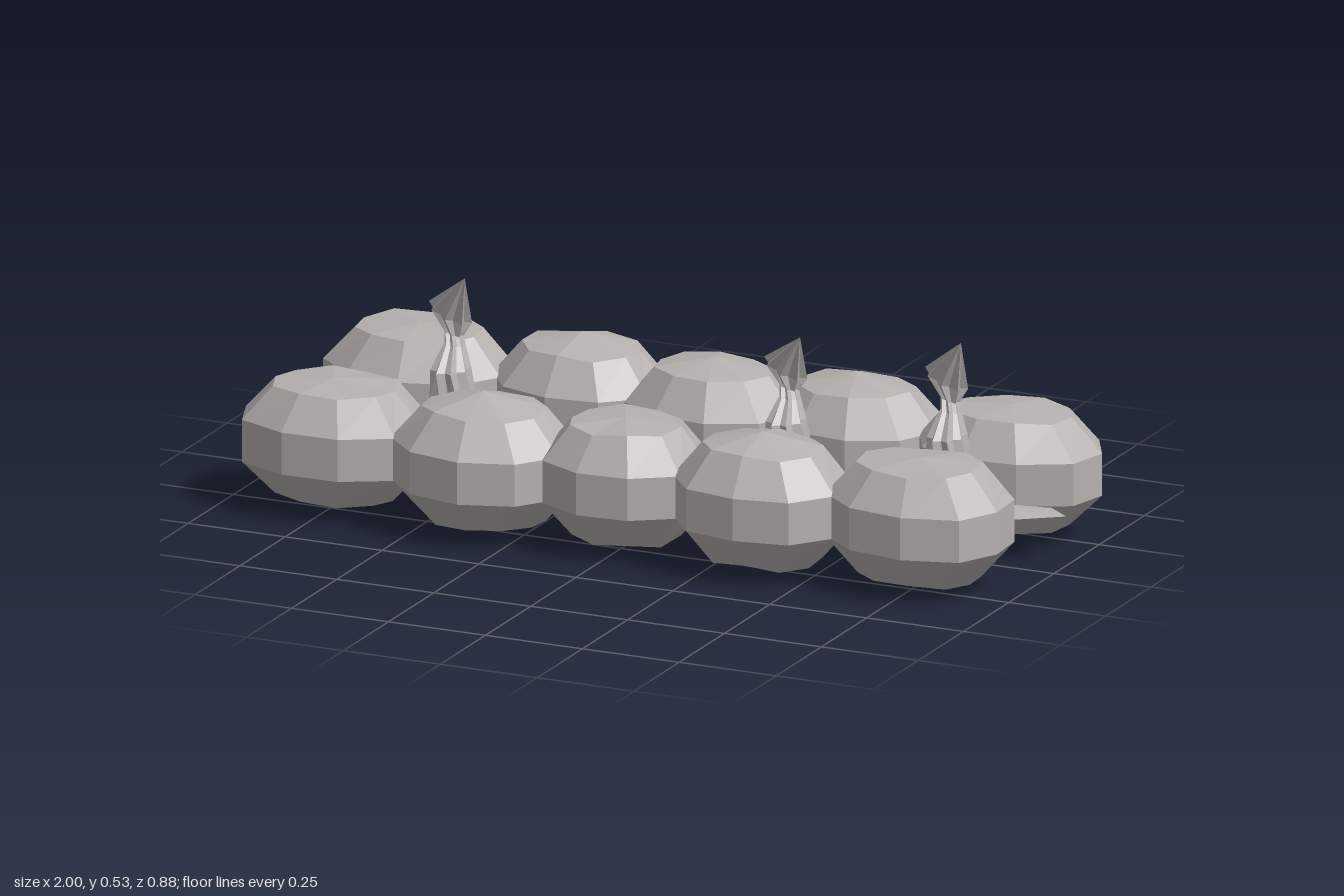
import * as THREE from 'three';

const stone = new THREE.MeshStandardMaterial({ color: 0xb5b1af, flatShading: true, side: THREE.DoubleSide });
stone.name = 'warm grey stone';

// Repeatable noise in -1..1
const noise = (a, b) => {
  const s = Math.sin(a * 12.9898 + b * 78.233) * 43758.5453;
  return (s - Math.floor(s)) * 2 - 1;
};

// Skin over rings of points listed from bottom to top
function loft(rings) {
  const n = rings[0].length, index = [];
  for (let j = 0; j < rings.length - 1; j++) {
    for (let i = 0; i < n; i++) {
      const a = j * n + i, b = j * n + (i + 1) % n;
      index.push(a, a + n, b, b, a + n, b + n);
    }
  }
  const g = new THREE.BufferGeometry();
  g.setAttribute('position', new THREE.Float32BufferAttribute(rings.flat(2), 3));
  g.setIndex(index);
  g.computeVertexNormals();
  return g;
}

// Ring of n points from a function of angle and index
const ring = (n, point) => Array.from({ length: n }, (_, i) => point(i / n * Math.PI * 2, i));

// Slightly boxy low-poly boulder with two upright belts and shallow caps
function boulder([x, z, rx, rz, bottom, top, yaw], seed) {
  const levels = [[bottom, 0], [0.034, 0.65], [0.117, 1], [0.22, 1], [0.304, 0.67], [top, 0]];
  const turn = noise(seed, 3) * 0.3;
  return loft(levels.map(([y, r], j) => ring(10, (a, i) => {
    const c = Math.cos(a + turn), s = Math.sin(a + turn);
    const full = (Math.abs(c) ** 2.3 + Math.abs(s) ** 2.3) ** (-1 / 2.3);
    const k = r * full * (1 + 0.025 * noise(seed + 1, i));
    const dy = r > 0 && r < 1 ? 0.006 * noise(seed + j, i + 20) : 0;
    const px = c * rx * k, pz = s * rz * k;
    return [x + px * Math.cos(yaw) - pz * Math.sin(yaw), y + dy, z + px * Math.sin(yaw) + pz * Math.cos(yaw)];
  })));
}

// Fluted stalk, pinched at the neck, under a leaning pointed bud
function sprout(height) {
  const s = (height - 0.14) / 0.39;
  // y, centre x, centre z, radius x, radius z, slope
  const levels = [
    [0.14, 0.008, -0.015, 0.06, 0.066, 0], [0.22, 0.008, -0.014, 0.055, 0.06, 0],
    [0.295, 0.002, -0.015, 0.045, 0.06, 0], [0.35, 0, -0.042, 0.023, 0.034, -0.2],
    [0.375, -0.006, -0.05, 0.022, 0.028, -0.4], [0.42, -0.02, -0.06, 0.052, 0.052, -0.45],
    [0.53, 0.045, 0, 0, 0, 0],
  ];
  return loft(levels.map(([y, cx, cz, rx, rz, slope], j) => ring(16, (a, i) => {
    const k = i % 2 ? 0.76 : 1;
    const t = a + j * 0.12;
    const dx = Math.cos(t) * rx * k;
    return [cx + dx, 0.14 + (y - 0.14) * s + slope * dx, cz + Math.sin(t) * rz * k];
  })));
}

// Thin bed with pointed ends, slightly raised in the middle
function bed() {
  const outline = [
    [-1, 0], [-0.76, 0.11], [-0.6, 0.17], [0.7, 0.17], [0.87, 0.1], [0.87, 0],
    [0.99, -0.09], [0.9, -0.16], [0.7, -0.17], [-0.6, -0.17], [-0.78, -0.1],
  ];
  const at = (y, sx, sz) => outline.map(([x, z]) => [x * sx, y, z * sz]);
  return loft([at(0.113, 0, 0), at(0.113, 1, 1), at(0.138, 0.7, 0.6), at(0.14, 0, 0)]);
}

export function createModel() {
  const model = new THREE.Group();
  model.name = 'stoneBorderedBed';
  const add = (name, geometry) => {
    const mesh = new THREE.Mesh(geometry, stone);
    mesh.name = name;
    model.add(mesh);
    return mesh;
  };

  add('bed', bed());

  // Centre x, z, radius x, z, bottom, top and yaw of each boulder
  const rows = {
    frontBoulder: [
      [-0.745, 0.235, 0.23, 0.172, 0.025, 0.316, 0], [-0.352, 0.258, 0.222, 0.178, 0.018, 0.342, 0.06],
      [0, 0.225, 0.205, 0.174, 0.02, 0.316, 0], [0.365, 0.252, 0.216, 0.178, 0.01, 0.336, 0.05],
      [0.755, 0.222, 0.226, 0.17, 0.018, 0.316, 0.1],
    ],
    backBoulder: [
      [-0.75, -0.242, 0.228, 0.175, 0.022, 0.316, 0], [-0.345, -0.274, 0.214, 0.17, 0.018, 0.338, 0.04],
      [0.01, -0.242, 0.214, 0.165, 0.02, 0.332, 0], [0.365, -0.268, 0.216, 0.17, 0, 0.336, 0.05],
      [0.775, -0.242, 0.225, 0.162, 0.02, 0.316, -0.08],
    ],
  };
  Object.entries(rows).forEach(([name, row], r) => row.forEach((spec, i) =>
    add(name + (i + 1), boulder(spec, r * 7 + i * 1.3 + 1))));

  // Three sprouts along the middle
  [[-0.565, 0.522], [0.3, 0.492], [0.715, 0.533]].forEach(([x, height], i) => {
    add('sprout' + (i + 1), sprout(height)).position.x = x;
  });

  return model;
}
